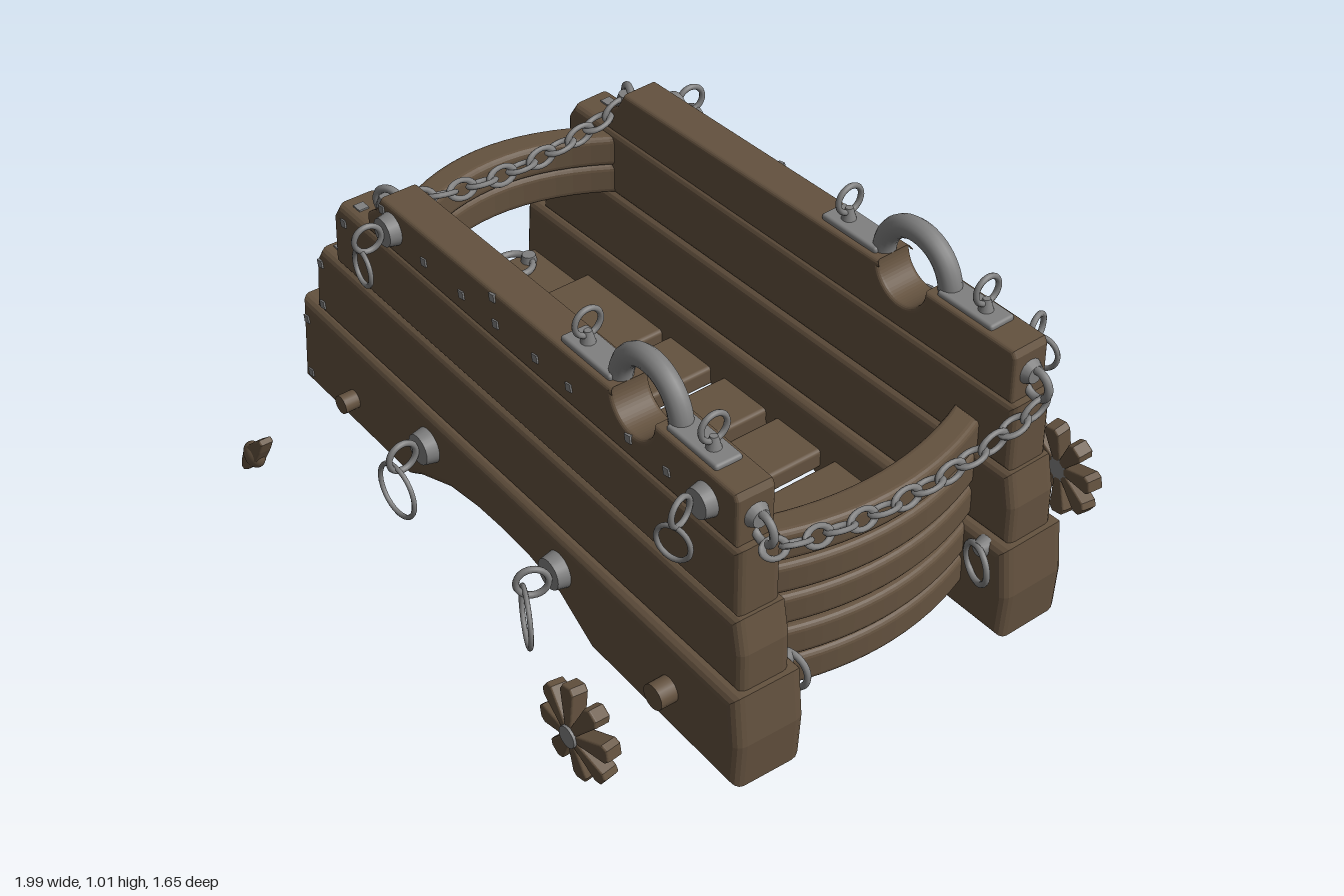
import * as THREE from 'three';
import { RoundedBoxGeometry } from 'three/addons/geometries/RoundedBoxGeometry.js';

const mat = (name, color) => Object.assign(new THREE.MeshStandardMaterial({ color }), { name });

export function createModel() {
  const root = new THREE.Group();
  root.name = 'gunCarriage';
  const wood = mat('brown wood', 0x64523f);
  const iron = mat('grey iron', 0x808080);

  const add = (parent, name, geo, m, x = 0, y = 0, z = 0) => {
    const mesh = new THREE.Mesh(geo, m);
    mesh.name = name;
    mesh.position.set(x, y, z);
    parent.add(mesh);
    return mesh;
  };
  const extrude = (shape, depth, bevel) => new THREE.ExtrudeGeometry(shape, {
    depth: depth - 2 * bevel, bevelEnabled: true, bevelThickness: bevel, bevelSize: bevel,
    bevelOffset: -bevel, bevelSegments: 4, curveSegments: 16,
  }).translate(0, 0, -depth / 2 + bevel);
  // Timbers grow a little thicker towards the front end
  const taper = (geo, k) => {
    const p = geo.attributes.position;
    for (let i = 0; i < p.count; i++) p.setZ(i, p.getZ(i) * (1 + k * p.getX(i)));
    geo.computeVertexNormals();
    return geo;
  };
  const outline = (pts) => new THREE.Shape(pts.map(([x, y]) => new THREE.Vector2(x, y)));
  const ring = (r, tube) => new THREE.TorusGeometry(r, tube, 8, 28);

  // Stepped cheek timbers, bottom to top
  const sill = outline([[-1, 0.02], [-0.46, 0.02], [-0.4, 0.055], [-0.25, 0.115], [-0.12, 0.135],
    [0, 0.14], [0.12, 0.135], [0.25, 0.11], [0.39, 0.03], [0.98, 0.02], [0.99, 0.16], [0.975, 0.31],
    [-0.98, 0.31]]);
  const second = outline([[-0.925, 0.3], [0.96, 0.3], [0.96, 0.42], [0.94, 0.52], [-0.88, 0.52], [-0.91, 0.47]]);
  const third = outline([[-0.815, 0.513], [0.93, 0.513], [0.93, 0.718], [-0.78, 0.718], [-0.81, 0.67]]);
  const rail = outline([[-0.64, 0.713], [0.91, 0.713], [0.91, 0.85], [0.9, 0.868], [0.595, 0.87]]);
  rail.absarc(0.51, 0.87, 0.085, 0, Math.PI, true);
  [[0.425, 0.868], [-0.57, 0.852], [-0.6, 0.8], [-0.64, 0.77]].forEach(([x, y]) => rail.lineTo(x, y));
  const timbers = [['bottomTimber', sill, 0.192, 0.03, 0.11], ['secondTimber', second, 0.15, 0.026, 0.05],
    ['thirdTimber', third, 0.13, 0.024, 0.03], ['topRail', rail, 0.115, 0.012, 0]];

  // Bolt with flat collar, fixed eye and loose hanging ring, pointing outward along z
  function eyebolt(parent, s, x, y, z, k, ringR, drop, yaw) {
    const g = new THREE.Group();
    g.name = 'eyeboltWithRing';
    g.position.set(x, y, s * z);
    parent.add(g);
    add(g, 'collar', new THREE.CylinderGeometry(0.044 * k, 0.052 * k, 0.04 * k, 24), iron, 0, 0, s * 0.015 * k)
      .rotation.x = s * Math.PI / 2;
    add(g, 'eye', ring(0.042 * k, 0.009 * k), iron, 0, 0, s * 0.083 * k).rotation.y = Math.PI / 2 + yaw;
    add(g, 'hangingRing', ring(ringR, 0.007), iron, 0, -drop, s * 0.105 * k).rotation.y = yaw;
  }

  function cheek(s) {
    const g = new THREE.Group();
    g.name = s > 0 ? 'frontCheek' : 'backCheek';
    g.position.z = s * 0.403;
    g.rotation.y = -s * 0.024;
    root.add(g);
    for (const [name, shape, depth, bevel, k] of timbers) add(g, name, taper(extrude(shape, depth, bevel), k), wood);

    // Square bolt heads on the outer faces and on the steps
    const heads = [[-0.95, 0.065, 0.086], [-0.95, 0.25, 0.086], [-0.88, 0.335, 0.072], [-0.875, 0.475, 0.072],
      [-0.75, 0.675, 0.0635], [-0.56, 0.825, 0.0575], [-0.06, 0.845, 0.0575]];
    for (const x of [-0.37, -0.2, -0.05, 0.12, 0.26, 0.5, 0.65]) heads.push([x, 0.77, 0.0575]);
    for (const [x, y, z] of heads) {
      add(g, 'boltHead', new THREE.BoxGeometry(0.022, 0.022, 0.009), iron, x, y, s * z).rotation.z = 0.2;
    }
    for (const [x, y] of [[-0.95, 0.308], [-0.85, 0.52], [-0.73, 0.718]]) {
      add(g, 'stepBolt', new THREE.BoxGeometry(0.03, 0.01, 0.03), iron, x, y, s * 0.02);
    }

    // Trunnion strap with end plates and upright eyes
    const strap = new THREE.Group();
    strap.name = 'trunnionStrap';
    g.add(strap);
    add(strap, 'archedStrap', new THREE.TorusGeometry(0.118, 0.031, 14, 28, Math.PI), iron, 0.51, 0.862, 0);
    for (const [x, w, eyeX] of [[0.3, 0.2, 0.26], [0.715, 0.19, 0.75]]) {
      add(strap, 'strapPlate', new RoundedBoxGeometry(w, 0.02, 0.08, 2, 0.008), iron, x, 0.872, 0);
      add(strap, 'eyeFoot', new THREE.CylinderGeometry(0.01, 0.022, 0.04, 14), iron, eyeX, 0.895, 0);
      add(strap, 'uprightEye', ring(0.038, 0.008), iron, eyeX, 0.94, 0).rotation.y = Math.PI / 2;
    }

    eyebolt(g, s, -0.34, 0.21, 0.0925, 1, 0.078, 0.103, s > 0 ? 0.03 : -0.3);
    eyebolt(g, s, 0.26, 0.21, 0.0985, 1, 0.08, 0.105, -s * 0.45);
    eyebolt(g, s, -0.515, 0.79, 0.0575, 0.9, 0.048, 0.083, -0.12);
    eyebolt(g, s, 0.8, 0.79, 0.0575, 0.9, 0.048, 0.083, 0.33);

    // Chain shackles at both ends of the rail
    add(g, 'rearShackle', ring(0.042, 0.011), iron, -0.615, 0.79, 0).rotation.y = s * 0.4;
    add(g, 'rearRailBolt', new THREE.CylinderGeometry(0.025, 0.035, 0.03, 16), iron, -0.62, 0.795, 0);
    add(g, 'frontRailCollar', new THREE.CylinderGeometry(0.025, 0.04, 0.03, 16), iron, 0.915, 0.79, 0)
      .rotation.z = -Math.PI / 2;
    add(g, 'frontShackle', ring(0.04, 0.011), iron, 0.935, 0.765, 0);

    // Ring on the inner face by the front end
    const inner = new THREE.Group();
    inner.name = 'innerRing';
    inner.position.set(0.9, 0.28, -s * 0.105);
    g.add(inner);
    add(inner, 'innerStud', new THREE.CylinderGeometry(0.02, 0.03, 0.03, 16), iron).rotation.x = -s * Math.PI / 2;
    add(inner, 'looseRing', ring(0.055, 0.009), iron, 0, -0.045, -s * 0.015).rotation.y = s * 0.3;
  }
  [1, -1].forEach(cheek);

  // Curved cross boards, bowed along x and stacked in y
  function curvedBoards(name, inner, innerBow, outer, outerBow, heights) {
    const w = 0.36;
    const shape = new THREE.Shape();
    shape.moveTo(inner, -w);
    shape.quadraticCurveTo(inner + 2 * innerBow, 0, inner, w);
    shape.lineTo(outer, w);
    shape.quadraticCurveTo(outer + 2 * outerBow, 0, outer, -w);
    for (const y of heights) add(root, name, extrude(shape, 0.093, 0.018).rotateX(-Math.PI / 2), wood, 0, y, 0);
  }
  curvedBoards('upperFrontBoard', 0.73, 0.08, 0.82, 0.08, [0.365, 0.467, 0.57]);
  curvedBoards('lowerFrontBoard', 0.76, 0.03, 0.82, 0.08, [0.16, 0.257]);
  curvedBoards('rearBoard', -0.575, -0.13, -0.665, -0.13, [0.565, 0.655]);

  // Floor planks, rear bar and ball
  for (const [a, b] of [[-0.7, -0.36], [-0.33, -0.15], [-0.1, 0.08], [0.12, 0.3], [0.35, 0.56]]) {
    add(root, 'floorPlank', new RoundedBoxGeometry(b - a, 0.06, 0.7, 2, 0.012), wood, (a + b) / 2, 0.172, 0);
  }
  add(root, 'rearPlank', new RoundedBoxGeometry(0.22, 0.035, 0.7, 2, 0.01), wood, -0.84, 0.13, 0);
  add(root, 'rearBar', new RoundedBoxGeometry(0.05, 0.04, 0.7, 2, 0.01), wood, -0.92, 0.07, 0);
  add(root, 'ball', new THREE.SphereGeometry(0.085, 28, 20), wood, -0.63, 0.255, 0.18);
  for (const s of [1, -1]) {
    add(root, 'deckRing', ring(0.052, 0.01), iron, -0.91, 0.156, s * 0.2).rotation.x = Math.PI / 2;
    add(root, 'deckRingStaple', new THREE.CylinderGeometry(0.02, 0.025, 0.03, 12), iron, -0.91, 0.155, s * 0.25);
  }

  // Axle stubs, flower-shaped hubs and two-bladed hubs standing off the cheeks
  const petal = outline([[0.02, -0.012], [0.118, -0.027], [0.134, -0.016], [0.134, 0.016], [0.118, 0.027], [0.02, 0.012]]);
  const blade = outline([[0, -0.028], [0.06, -0.018], [0.094, -0.008], [0.094, 0.008], [0.06, 0.018], [0, 0.028]]);
  for (const s of [1, -1]) {
    add(root, 'frontAxleStub', new THREE.CylinderGeometry(0.036, 0.036, 0.16, 20), wood, 0.72, 0.16, s * 0.495)
      .rotation.x = Math.PI / 2;
    add(root, 'rearAxleStub', new THREE.CylinderGeometry(0.027, 0.027, 0.16, 20), wood, -0.72, 0.12, s * 0.44)
      .rotation.x = Math.PI / 2;
    const flower = new THREE.Group();
    flower.name = 'frontFlowerHub';
    flower.position.set(0.71, 0.172, s * 0.798);
    root.add(flower);
    for (let i = 0; i < 8; i++) {
      add(flower, 'petal', extrude(petal, 0.048, 0.006), wood).rotation
        .set(0, s * 0.12, (i + 0.25) * Math.PI / 4, 'ZYX');
    }
    add(flower, 'flowerBoss', new THREE.CylinderGeometry(0.03, 0.036, 0.055, 20), iron).rotation.x = s * Math.PI / 2;
    const bladed = new THREE.Group();
    bladed.name = 'rearBladedHub';
    bladed.position.set(-0.725, 0.085, s * 0.795);
    root.add(bladed);
    for (const a of [0.95, 0.95 + Math.PI]) {
      add(bladed, 'blade', extrude(blade, 0.04, 0.006), wood).rotation.set(0, s * 0.1, a, 'ZYX');
    }
    add(bladed, 'bladeBoss', new THREE.SphereGeometry(0.038, 18, 12), wood).scale.z = 0.7;
  }

  // Chains sagging between the cheeks, links turned alternately
  function chain(name, x, yEnd, yMid, half, n) {
    const g = new THREE.Group();
    g.name = name;
    root.add(g);
    const curve = new THREE.QuadraticBezierCurve3(new THREE.Vector3(x, yEnd, -half),
      new THREE.Vector3(x, 2 * yMid - yEnd, 0), new THREE.Vector3(x, yEnd, half));
    const link = new THREE.TorusGeometry(0.024, 0.0075, 8, 18).scale(1.6, 1, 1);
    const xAxis = new THREE.Vector3(1, 0, 0);
    for (let i = 0; i < n; i++) {
      const u = (i + 0.5) / n;
      const m = add(g, 'chainLink', link, iron);
      m.position.copy(curve.getPointAt(u));
      m.quaternion.setFromUnitVectors(xAxis, curve.getTangentAt(u))
        .multiply(new THREE.Quaternion().setFromAxisAngle(xAxis, (i % 2) * Math.PI / 2 + 0.3));
    }
  }
  chain('rearChain', -0.62, 0.785, 0.72, 0.38, 12);
  chain('frontChain', 0.955, 0.72, 0.645, 0.44, 13);
  return root;
}
